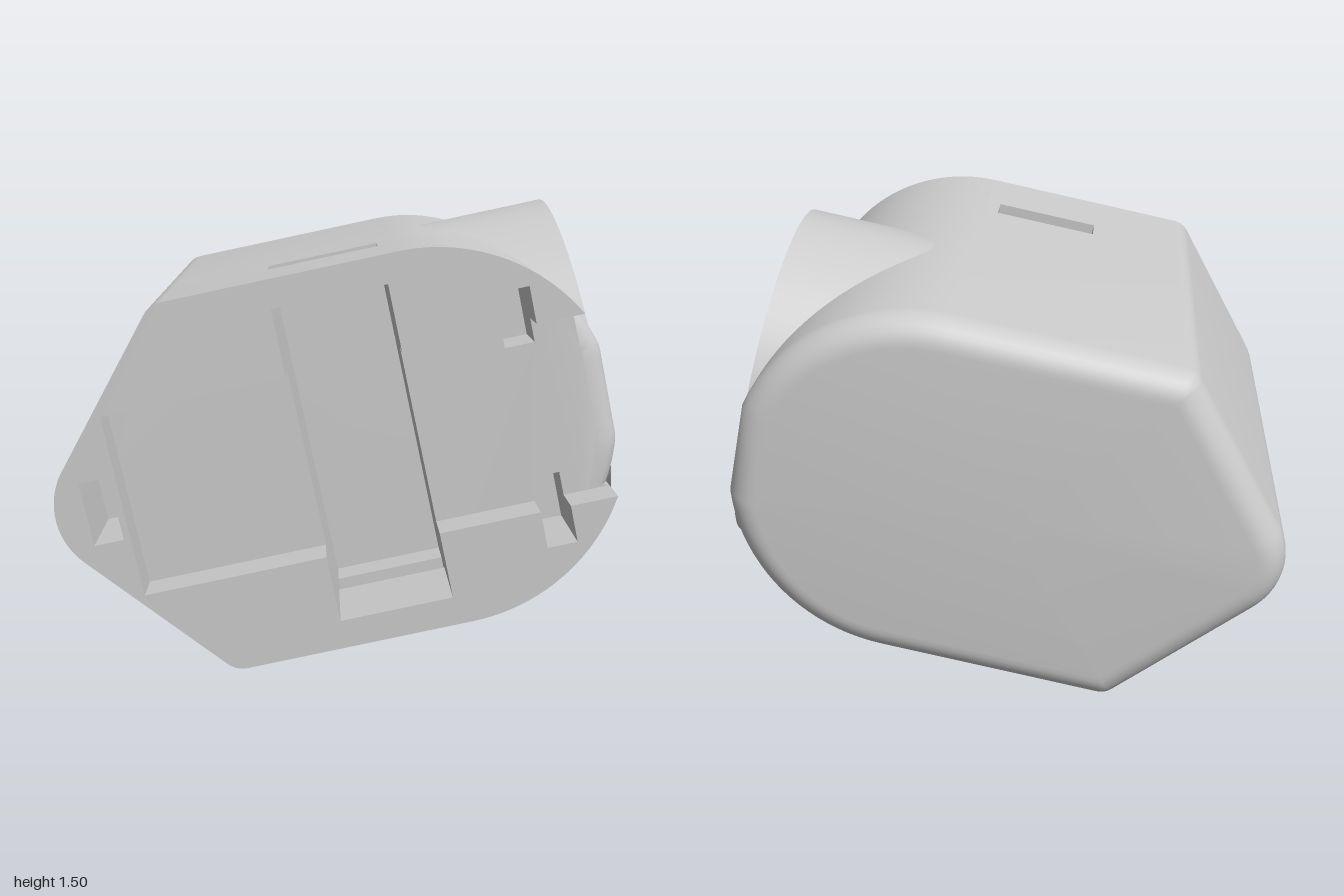
import * as THREE from 'three';
import { mergeGeometries, toCreasedNormals } from 'three/addons/utils/BufferGeometryUtils.js';

const H = 0.625;                       // half height of the body
const CH = { l: -0.133, r: 0.246, h: 0.53 }; // deep channel
const PK = 0.306;                      // half height of the shallow pockets
const SL = { l: 0.583, r: 0.683, b: 0.225, t: 0.43 }; // right-hand slits
const FRONT = 0.843, FLOOR = 0.70, SLOT_F = 0.52, SLOT_B = 0.40, DEEP = 0.28, BACK = -0.86;

const mirror = (pts) => [...pts].reverse().map(([x, y]) => [x, -y]);

function arc(cx, cy, r, t0, t1, n) {
  const pts = [];
  for (let i = 0; i <= n; i++) {
    const t = t0 + (t1 - t0) * i / n;
    pts.push([cx + r * Math.cos(t), cy + r * Math.sin(t)]);
  }
  return pts;
}

// Upper half of the body profile, shrunk by an inset; runs from the right side to the left tip
function halfOutline(inset = 0, start = null) {
  const R = H - inset, nx = 0.76, ny = 0.65;
  const slope = Math.PI - Math.atan2(ny, nx);
  const t0 = start ?? Math.acos((0.605 - inset) / R);
  const rr = Math.max(0.08 - inset, 0.004);
  const cy = R - rr;
  const cx = -(0.791 - inset - rr - ny * cy) / nx;
  return [
    ...arc(0.295, 0, R, t0, Math.PI / 2, 20),
    ...arc(cx, cy, rr, Math.PI / 2, slope, 5),
    ...arc(-0.725, 0, 0.24 - inset, slope, Math.PI, 10),
  ];
}

function outline(inset) {
  const half = halfOutline(inset);
  return [...half, ...mirror(half).slice(1)];
}

const rect = (l, r, b, t) => [[l, b], [r, b], [r, t], [l, t]];
const toVec = (pts) => pts.map(([x, y]) => new THREE.Vector2(x, y));

// One slab of the body between two depths
function slab(pts, holes, z0, z1, steps = 1) {
  const shape = new THREE.Shape(toVec(pts));
  holes.forEach((h) => shape.holes.push(new THREE.Path(toVec(h))));
  const g = new THREE.ExtrudeGeometry(shape, { depth: z1 - z0, steps, bevelEnabled: false });
  g.translate(0, 0, z0);
  g.deleteAttribute('uv');
  g.deleteAttribute('normal');
  return g;
}

// Solid rear of the body with a rounded back edge
function rearBlock() {
  const r = 0.1, rings = [];
  const ring = (pts, z) => rings.push(pts.map(([x, y]) => [x, y, z]));
  const centre = outline(0).map(() => [0, 0]);
  ring(centre, BACK);
  for (let k = 0; k <= 8; k++) {
    const t = k / 8 * Math.PI / 2;
    ring(outline(r * (1 - Math.sin(t))), BACK + r * (1 - Math.cos(t)));
  }
  ring(outline(0), DEEP);
  ring(centre, DEEP);
  const n = centre.length, index = [];
  for (let k = 0; k < rings.length - 1; k++) {
    for (let j = 0; j < n; j++) {
      const a = k * n + j, b = k * n + (j + 1) % n;
      if (k > 0) index.push(a, b, b + n);
      if (k === 0) index.push(a, b + n, a + n);
      else if (k < rings.length - 2) index.push(a, b + n, a + n);
      else index.splice(-3, 3, a, b, a + n);
    }
  }
  const g = new THREE.BufferGeometry();
  g.setAttribute('position', new THREE.Float32BufferAttribute(rings.flat(2), 3));
  g.setIndex(index);
  return g.toNonIndexed();
}

// Slab under the pocket floor, its open right edge rounded over between the lips
function roundedFloor(holes, z0) {
  const r = FLOOR - z0, lip = Math.asin(PK / H), e = 0.0015;
  const half = halfOutline(0, lip);
  const side = arc(0.295, 0, H, 0.04, lip - e, 12).map(([x, y]) => [Math.min(x, 0.9), y]);
  const pts = [...side, ...half, ...mirror(half).slice(1), ...mirror(side)];
  const g = slab(pts, holes, z0, FLOOR, 6);
  const p = g.attributes.position;
  for (let i = 0; i < p.count; i++) {
    if (p.getX(i) > 0.8 && Math.abs(p.getY(i)) < PK - e * 0.3) {
      const d = Math.min(p.getZ(i) - z0, r);
      p.setX(i, p.getX(i) - (r - Math.sqrt(Math.max(r * r - d * d, 0))));
    }
  }
  return g;
}

function bodyGeometry() {
  const full = outline(0);
  const channel = rect(CH.l, CH.r, -CH.h, CH.h);
  const leftSlit = rect(-0.864, -0.765, -0.107, 0.107);
  const slits = [leftSlit, rect(SL.l, SL.r, SL.b, SL.t), rect(SL.l, SL.r, -SL.t, -SL.b)];

  // front rim: the pockets, channel and slits join into one opening towards the right
  const rim = halfOutline(0, Math.asin(PK / H));
  const inner = [[-0.743, PK], [CH.l, PK], [CH.l, CH.h], [CH.r, CH.h], [CH.r, PK],
    [SL.l, PK], [SL.l, SL.t], [SL.r, SL.t], [SL.r, PK]];
  const rimPts = [...rim, ...mirror(rim).slice(1), ...mirror(inner), ...inner];

  // slab split in two by the slot that runs through top and bottom
  const left = [...full.filter(([x]) => x < CH.l), [CH.l, -H], [CH.l, H]];
  const right = full.filter(([x]) => x > CH.r);
  const rightPts = [...right.filter(([, y]) => y > 0), [CH.r, H], [CH.r, -H],
    ...right.filter(([, y]) => y < 0)];

  const edge = 0.63;
  return toCreasedNormals(mergeGeometries([
    slab(rimPts, [leftSlit], FLOOR, FRONT),
    roundedFloor([channel, ...slits], edge),
    slab(full, [channel, ...slits], SLOT_F, edge),
    slab(left, [], SLOT_B, SLOT_F),
    slab(rightPts, [], SLOT_B, SLOT_F),
    slab(full, [channel], DEEP, SLOT_B),
    rearBlock(),
  ]), 0.5);
}

export function createModel() {
  const model = new THREE.Group();
  model.name = 'housing';
  const material = new THREE.MeshStandardMaterial({ color: 0xcccccc });

  const tilted = new THREE.Group();
  tilted.name = 'tiltedHousing';
  model.add(tilted);

  const body = new THREE.Mesh(bodyGeometry(), material);
  body.name = 'body';
  tilted.add(body);

  // round side port
  const port = new THREE.Mesh(new THREE.CylinderGeometry(0.61, 0.61, 0.602, 96), material);
  port.name = 'sidePort';
  port.rotation.z = -Math.PI / 2;
  port.position.set(0.601, 0, -0.11);
  tilted.add(port);

  // whole housing leans and turns slightly
  const z = new THREE.Vector3(0.066, 0.015, 0.998).normalize();
  const x = new THREE.Vector3(0.976, 0.208, -0.0675);
  x.addScaledVector(z, -x.dot(z)).normalize();
  const y = new THREE.Vector3().crossVectors(z, x);
  tilted.quaternion.setFromRotationMatrix(new THREE.Matrix4().makeBasis(x, y, z));
  tilted.position.set(0.002, 0.73, 0);
  return model;
}
